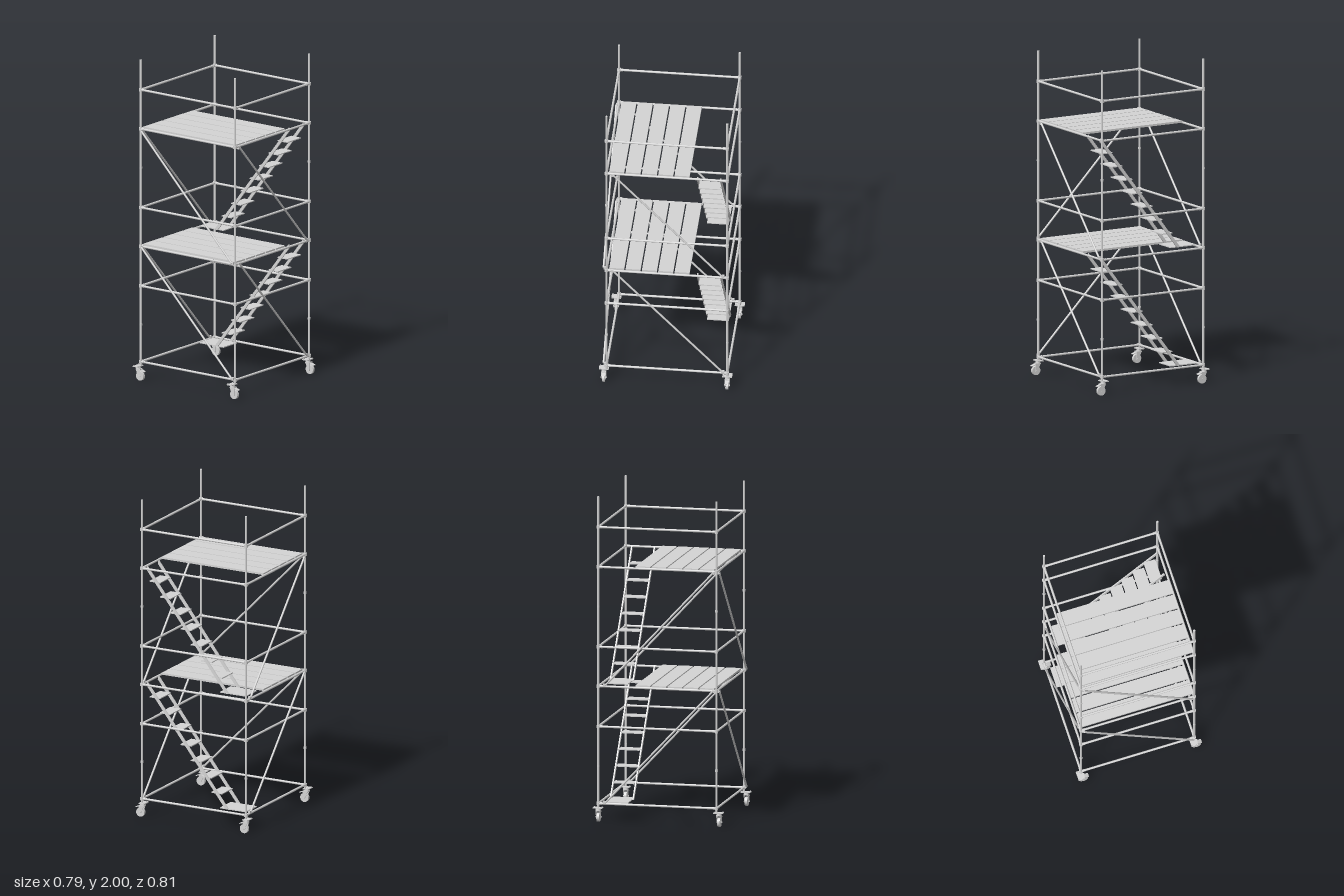
import * as THREE from 'three';

const steel = new THREE.MeshStandardMaterial({ color: 0xd4d4d4 });
steel.name = 'galvanised steel';

const XL = -0.366, XR = 0.353, ZB = -0.375, ZF = 0.359; // post lines
const R = 0.007;                                        // tube radius
const RAILS = [0.113, 0.586, 0.834, 1.076, 1.567, 1.812]; // rail heights
const V = (x, y, z) => new THREE.Vector3(x, y, z);

function add(parent, name, geometry, x = 0, y = 0, z = 0) {
  const mesh = new THREE.Mesh(geometry, steel);
  mesh.name = name;
  mesh.position.set(x, y, z);
  parent.add(mesh);
  return mesh;
}

const box = (parent, name, w, h, d, x, y, z) =>
  add(parent, name, new THREE.BoxGeometry(w, h, d), x, y, z);

// Round tube between two points
function tube(parent, name, a, b, r = R) {
  const dir = b.clone().sub(a);
  const mesh = add(parent, name, new THREE.CylinderGeometry(r, r, dir.length(), 12));
  mesh.position.copy(a).add(b).multiplyScalar(0.5);
  mesh.quaternion.setFromUnitVectors(V(0, 1, 0), dir.normalize());
}

// Upright with collars at the rails and spigot joints in between
function post(parent, x, z) {
  const g = new THREE.Group();
  g.name = 'post';
  tube(g, 'postTube', V(x, 0.085, z), V(x, 2, z));
  for (const y of RAILS) {
    add(g, 'collar', new THREE.CylinderGeometry(0.0115, 0.0115, 0.018, 12), x, y, z);
  }
  for (const y of [0.345, 1.325]) {
    add(g, 'spigotJoint', new THREE.CylinderGeometry(0.009, 0.009, 0.012, 12), x, y, z);
  }
  parent.add(g);
}

// Four rails around the tower at one height
function railRing(parent, y) {
  const g = new THREE.Group();
  g.name = 'railRing';
  for (const z of [ZB, ZF]) tube(g, 'rail', V(XL, y, z), V(XR, y, z));
  for (const x of [XL, XR]) tube(g, 'rail', V(x, y, ZB), V(x, y, ZF));
  // Coupler sleeves at the rail ends
  for (const x of [XL, XR]) for (const z of [ZB, ZF]) {
    const sx = -Math.sign(x) * 0.025, sz = -Math.sign(z) * 0.025;
    tube(g, 'coupler', V(x, y, z), V(x + sx, y, z), 0.0085);
    tube(g, 'coupler', V(x, y, z), V(x, y, z + sz), 0.0085);
  }
  parent.add(g);
}

// Swivel caster: plate, fork, wheel and brake pedal
function caster(parent, px, pz) {
  const g = new THREE.Group();
  g.name = 'caster';
  g.position.set(px, 0, pz);
  box(g, 'casterPlate', 0.04, 0.005, 0.06, 0, 0.088, 0);
  for (const x of [-0.014, 0.014]) for (const z of [-0.024, 0.024]) {
    add(g, 'plateBolt', new THREE.CylinderGeometry(0.0035, 0.0035, 0.004, 6), x, 0.092, z);
  }
  add(g, 'swivel', new THREE.CylinderGeometry(0.014, 0.016, 0.014, 16), 0.004, 0.079, 0);
  box(g, 'forkCrown', 0.034, 0.006, 0.028, 0.008, 0.07, 0);
  const wx = 0.019;
  const cheek = new THREE.Shape([
    new THREE.Vector2(-0.008, 0.073), new THREE.Vector2(wx - 0.007, 0.022),
    new THREE.Vector2(wx + 0.007, 0.022), new THREE.Vector2(0.026, 0.073),
  ]);
  for (const z of [-0.0145, 0.0115]) {
    add(g, 'forkCheek', new THREE.ExtrudeGeometry(cheek, { depth: 0.003, bevelEnabled: false }), 0, 0, z);
  }
  const tyre = new THREE.CylinderGeometry(0.028, 0.028, 0.017, 24).rotateX(Math.PI / 2);
  add(g, 'wheel', tyre, wx, 0.028, 0);
  tube(g, 'axle', V(wx, 0.028, -0.018), V(wx, 0.028, 0.018), 0.005);
  const pedal = box(g, 'brakePedal', 0.028, 0.004, 0.024, 0.038, 0.062, 0);
  pedal.rotation.z = -0.35;
  parent.add(g);
}

// Five planks side by side between the end rails
function deck(parent, y) {
  const g = new THREE.Group();
  g.name = 'deck';
  for (let i = 0; i < 5; i++) {
    box(g, 'plank', 0.705, 0.012, 0.091, -0.0065, y, -0.0995 + i * 0.0993);
  }
  parent.add(g);
}

// Flight of stairs with a landing board at its foot
function stairs(parent, y0) {
  const g = new THREE.Group();
  g.name = 'stairs';
  const rise = 0.722, run = 0.56;
  const side = new THREE.Shape([
    new THREE.Vector2(-0.226, y0), new THREE.Vector2(-0.203, y0),
    new THREE.Vector2(-0.203 + run - 0.014, y0 + rise - 0.018),
    new THREE.Vector2(-0.226 + run + 0.004, y0 + rise + 0.005),
  ]);
  for (const z of [-0.3385, -0.1975]) {
    add(g, 'stringer', new THREE.ExtrudeGeometry(side, { depth: 0.0085, bevelEnabled: false }), 0, 0, z);
  }
  box(g, 'landing', 0.18, 0.006, 0.133, -0.252, y0 + 0.001, -0.2635);
  for (let i = 0; i < 7; i++) {
    box(g, 'tread', 0.075, 0.006, 0.133, -0.139 + i * 0.0712, y0 + 0.09 + i * 0.09, -0.2635);
  }
  parent.add(g);
}

// Diagonal braces on the front and both sides of one storey
function braces(parent, yLow, yHigh) {
  const g = new THREE.Group();
  g.name = 'braces';
  const r = 0.0062;
  tube(g, 'frontBrace', V(-0.35, yHigh, 0.374), V(0.342, yLow, 0.378), r);
  tube(g, 'rightBrace', V(-0.374, yHigh, 0.338), V(-0.372, yLow, -0.328), r);
  tube(g, 'leftBrace', V(0.356, yHigh, 0.318), V(0.357, yLow, -0.345), r);
  // Clamps holding the brace ends
  for (const [x, y, z] of [[-0.355, yHigh, 0.367], [0.345, yLow, 0.37],
    [-0.369, yHigh, 0.342], [-0.368, yLow, -0.335], [0.354, yHigh, 0.325], [0.354, yLow, -0.35]]) {
    box(g, 'braceClamp', 0.014, 0.016, 0.016, x, y, z);
  }
  parent.add(g);
}

export function createModel() {
  const model = new THREE.Group();
  model.name = 'scaffoldTower';

  for (const x of [XL, XR]) for (const z of [ZB, ZF]) {
    post(model, x, z);
    caster(model, x < 0 ? -0.375 : 0.342, Math.sign(z) * 0.375);
  }
  for (const y of RAILS) railRing(model, y);
  for (const y of [0.842, 1.573]) deck(model, y);
  for (const y of [0.117, 0.847]) stairs(model, y);
  braces(model, 0.122, 0.832);
  braces(model, 0.844, 1.558);

  return model;
}
